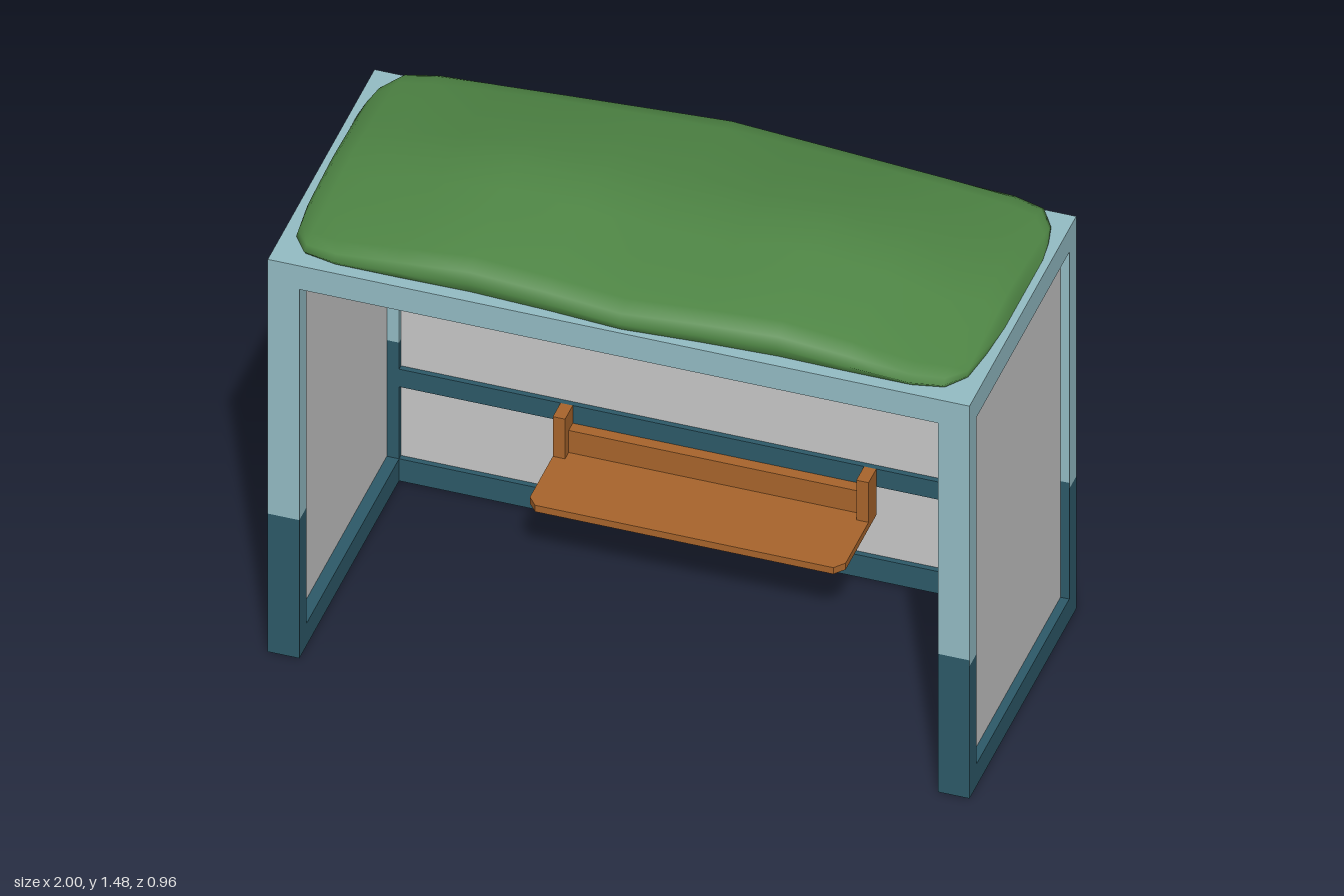
import * as THREE from 'three';

const mat = (name, color) => {
  const m = new THREE.MeshStandardMaterial({ color });
  m.name = name;
  return m;
};

export function createModel() {
  const group = new THREE.Group();
  const light = mat('paleBlueFrame', 0x94bdc5);
  const dark = mat('darkTealFrame', 0x2d5a69);
  const grey = mat('greyPanel', 0xc9c9c9);
  const wood = mat('orangeWood', 0xa9652c);
  const green = mat('grassGreen', 0x4f8645);

  const add = (name, geometry, material) => {
    const mesh = new THREE.Mesh(geometry, material);
    mesh.name = name;
    group.add(mesh);
    return mesh;
  };
  // Box given by its limits on each axis
  const box = (name, material, [x0, x1], [y0, y1], [z0, z1]) => {
    const g = new THREE.BoxGeometry(x1 - x0, y1 - y0, z1 - z0);
    g.translate((x0 + x1) / 2, (y0 + y1) / 2, (z0 + z1) / 2);
    return add(name, g, material);
  };

  const top = 1.335, beam = 1.255, sill = 0.075, inner = 0.91;
  const front = [0.415, 0.475], back = [-0.412, -0.354];
  const across = [-inner, inner], along = [back[1], front[0]];

  for (const s of [-1, 1]) {
    const side = s > 0 ? 'left' : 'right';
    const span = (a, b) => (s > 0 ? [a, b] : [-b, -a]);
    const width = span(inner, 1);
    // Two-tone corner posts; the paint line sits higher on front and back faces
    for (const z of [front, back]) {
      const name = side + (z === front ? 'FrontPost' : 'BackPost');
      box(name + 'Lower', dark, width, [0, 0.45], z);
      const band = [light, light, light, light, dark, dark];
      band[s > 0 ? 1 : 0] = dark;
      box(name + 'Band', band, width, [0.45, 0.47], z);
      box(name + 'Upper', light, width, [0.47, top], z);
    }
    // Side wall rails and panel
    box(side + 'BottomRail', dark, width, [0, sill], along);
    box(side + 'TopRail', light, width, [beam, top], along);
    box(side + 'Panel', grey, span(0.945, 0.975), [sill, beam], along);
  }

  // Front and back rails, back panels and ceiling
  box('frontTopRail', light, across, [beam, top], front);
  box('backTopRail', light, across, [beam, top], back);
  box('backBottomRail', dark, across, [0, sill], back);
  box('backMiddleRail', dark, across, [0.32, 0.38], back);
  box('backUpperPanel', grey, across, [0.38, beam], [-0.395, -0.37]);
  box('backLowerPanel', grey, across, [sill, 0.32], [-0.395, -0.37]);
  box('ceilingPanel', grey, across, [1.28, 1.31], along);

  // Bench seat with clipped front corners (shape y becomes -z)
  const seat = new THREE.Shape([
    [-0.45, 0.354], [-0.45, 0.1], [-0.425, 0.07],
    [0.425, 0.07], [0.45, 0.1], [0.45, 0.354],
  ].map(([x, y]) => new THREE.Vector2(x, y)));
  const seatGeo = new THREE.ExtrudeGeometry(seat, { depth: 0.022, bevelEnabled: false });
  seatGeo.rotateX(-Math.PI / 2).translate(0, 0.223, 0);
  add('benchSeat', seatGeo, wood);
  box('benchBack', wood, [-0.415, 0.415], [0.245, 0.32], [-0.354, -0.32]);
  for (const s of [-1, 1]) {
    box('benchBracket', wood, s > 0 ? [0.415, 0.45] : [-0.45, -0.415], [0.245, 0.38], [-0.354, -0.29]);
  }

  // Grass mound: cross-sections along x as [x, front z, back z, crest height]
  const half = [
    [0, 0.478, -0.487, 0.112], [0.22, 0.462, -0.462, 0.128], [0.44, 0.452, -0.438, 0.14],
    [0.64, 0.455, -0.434, 0.108], [0.82, 0.455, -0.43, 0.072], [0.91, 0.435, -0.405, 0.062],
    [0.955, 0.37, -0.335, 0.045], [0.97, 0.25, -0.27, 0.025], [0.978, 0.12, -0.2, 0],
  ];
  const stations = [...half.slice(1).reverse().map(([x, ...r]) => [-x, ...r]), ...half];
  // Profile from front to back: [share of z reach, share of height]; last two repeat the rim for the underside
  const profile = [
    [0.96, 0], [1, 0.27], [0.95, 0.44], [0.85, 0.6], [0.5, 0.78], [0.25, 0.9], [0, 1],
    [-0.25, 0.88], [-0.5, 0.74], [-0.85, 0.44], [-0.95, 0.33], [-1, 0.14], [-0.96, 0],
    [-0.96, 0], [0.96, 0],
  ];
  const pos = [], index = [], m = profile.length;
  stations.forEach(([x, f, b, h], i) => {
    const mid = 0.02;
    for (const [t, k] of profile) {
      pos.push(x, top + 0.001 + h * k, mid + (t > 0 ? t * (f - mid) : -t * (b - mid)));
    }
    if (i === stations.length - 1) return;
    for (let j = 0; j < m - 1; j++) {
      if (j === m - 3) continue;
      const a = i * m + j, n = a + m;
      index.push(a, n, a + 1, n, n + 1, a + 1);
    }
  });
  const grass = new THREE.BufferGeometry();
  grass.setAttribute('position', new THREE.Float32BufferAttribute(pos, 3));
  grass.setIndex(index);
  grass.computeVertexNormals();
  add('grassRoof', grass, green);

  return group;
}
